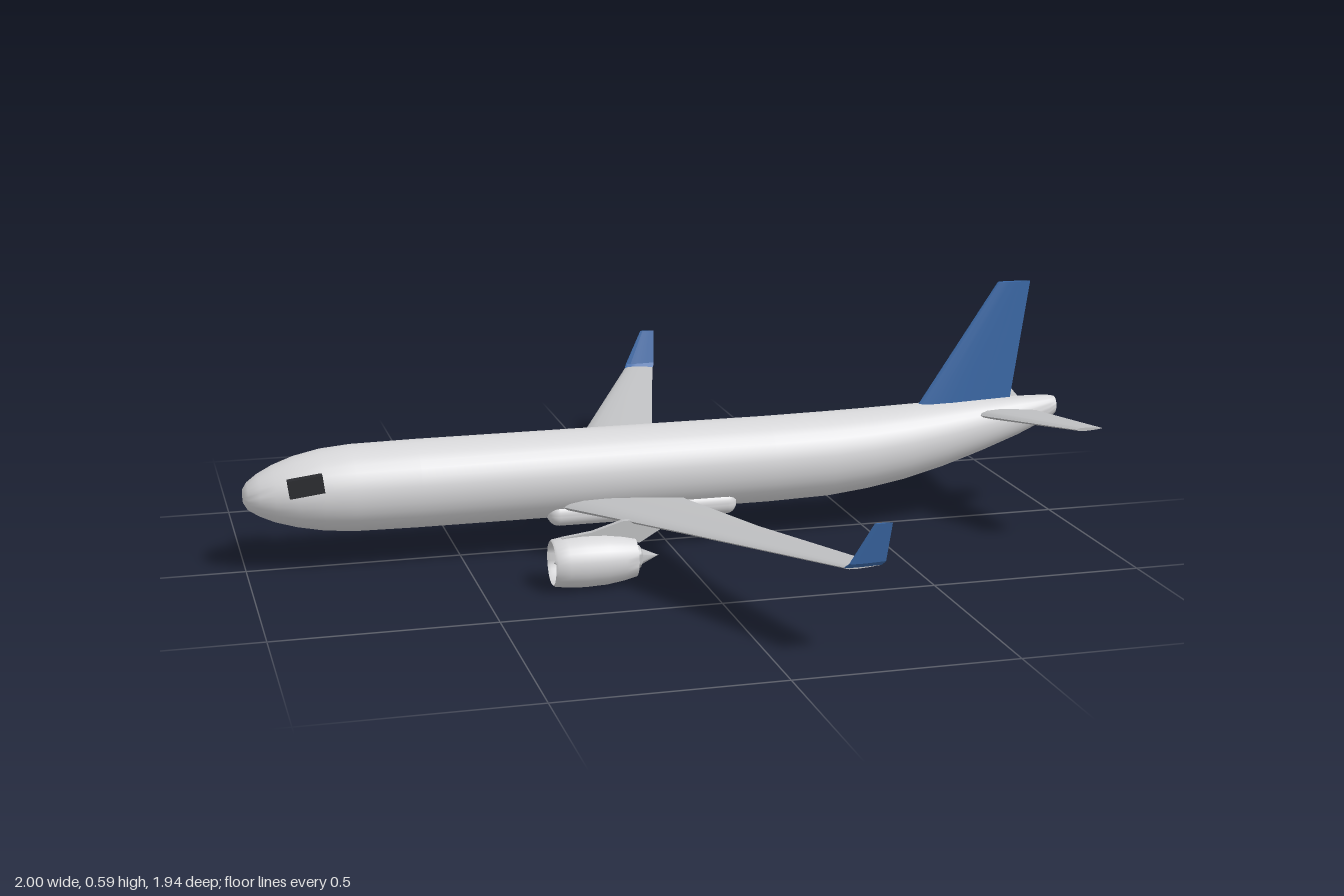
import * as THREE from 'three';
import { toCreasedNormals } from 'three/addons/utils/BufferGeometryUtils.js';
import { RoundedBoxGeometry } from 'three/addons/geometries/RoundedBoxGeometry.js';

const material = (name, color) => {
  const m = new THREE.MeshStandardMaterial({ color });
  m.name = name;
  return m;
};

// Skin a row of closed rings, cap both ends and face everything outward
function loft(rings, crease) {
  const n = rings[0].length;
  const pos = rings.flat(2);
  const tris = [];
  for (let i = 0; i < rings.length - 1; i++) {
    for (let j = 0; j < n; j++) {
      const a = i * n + j, b = i * n + (j + 1) % n;
      tris.push([a, b, b + n], [a, b + n, a + n]);
    }
  }
  const last = (rings.length - 1) * n;
  for (let j = 1; j < n - 1; j++) tris.push([0, j + 1, j], [last, last + j, last + j + 1]);
  const p = (i) => new THREE.Vector3().fromArray(pos, i * 3);
  const volume = tris.reduce((v, [a, b, c]) => v + p(a).dot(p(b).cross(p(c))), 0);
  if (volume < 0) tris.forEach((t) => t.reverse());
  const g = new THREE.BufferGeometry();
  g.setAttribute('position', new THREE.Float32BufferAttribute(pos, 3));
  g.setIndex(tris.flat());
  return toCreasedNormals(g, crease);
}

// Aerofoil outline: chord fraction, half-thickness fraction
const FOIL = [[0, 0], [0.04, 0.25], [0.15, 0.45], [0.35, 0.5], [0.65, 0.36], [1, 0.08],
  [1, -0.08], [0.65, -0.36], [0.35, -0.5], [0.15, -0.45], [0.04, -0.25]];

// Sections are [leading x, trailing x, y, z, thickness]; upright surfaces are thick along z
function surface(sections, upright, side = 1) {
  return loft(sections.map(([le, te, y, z, t]) => FOIL.map(([c, h]) => {
    const x = le + (te - le) * c;
    return upright ? [x, y, side * (z + h * t)] : [x, y + h * t, side * z];
  })), 0.5);
}

// Lathe running along x
function latheX(points, segments = 32) {
  const g = new THREE.LatheGeometry(points.map(([x, r]) => new THREE.Vector2(r, x)), segments);
  g.rotateZ(-Math.PI / 2);
  return toCreasedNormals(g, 0.6);
}

export function createModel() {
  const white = material('fuselage white', 0xd6d6d8);
  const grey = material('wing grey', 0xbfc0c2);
  const blue = material('tail blue', 0x3a68a6);
  const dark = material('dark glass', 0x2a2b2f);

  const model = new THREE.Group();
  model.name = 'airliner';
  const add = (name, geometry, mat, parent = model) => {
    const mesh = new THREE.Mesh(geometry, mat);
    mesh.name = name;
    parent.add(mesh);
    return mesh;
  };

  // Fuselage stations: x, bottom y, top y, half width
  const stations = [
    [-1, 0.165, 0.197, 0.018], [-0.99, 0.148, 0.212, 0.036], [-0.965, 0.132, 0.23, 0.056],
    [-0.93, 0.116, 0.248, 0.073], [-0.88, 0.101, 0.266, 0.088], [-0.82, 0.089, 0.279, 0.097],
    [-0.75, 0.082, 0.285, 0.102], [-0.6, 0.08, 0.287, 0.103], [0.25, 0.08, 0.288, 0.103],
    [0.4, 0.084, 0.29, 0.102], [0.5, 0.095, 0.292, 0.098], [0.6, 0.112, 0.295, 0.09],
    [0.7, 0.137, 0.298, 0.078], [0.8, 0.168, 0.3, 0.062], [0.9, 0.203, 0.3, 0.044],
    [0.98, 0.237, 0.299, 0.027], [1, 0.25, 0.295, 0.02],
  ];
  add('fuselage', loft(stations.map(([x, lo, hi, w]) =>
    Array.from({ length: 32 }, (_, i) => {
      const a = (i / 32) * Math.PI * 2;
      return [x, (lo + hi) / 2 + Math.sin(a) * (hi - lo) / 2, Math.cos(a) * w];
    })), 0.8), white);

  // Belly fairing
  const belly = add('bellyFairing', new RoundedBoxGeometry(0.46, 0.056, 0.17, 4, 0.026), white);
  belly.position.set(-0.07, 0.101, 0);

  // Tail fin
  add('tailFin', surface([
    [0.615, 0.875, 0.26, 0, 0.03], [0.645, 0.882, 0.3, 0, 0.028], [0.84, 0.925, 0.59, 0, 0.014],
  ], true), blue);

  // Engine profiles, along x from the inlet
  const nacelle = [[-0.31, 0.046], [-0.335, 0.047], [-0.343, 0.05], [-0.338, 0.054], [-0.31, 0.058],
    [-0.27, 0.06], [-0.22, 0.058], [-0.18, 0.052], [-0.15, 0.045], [-0.15, 0.041], [-0.18, 0.042]];
  const core = [[-0.19, 0.042], [-0.178, 0.03], [-0.14, 0.026], [-0.135, 0.018], [-0.095, 0]];

  for (const side of [1, -1]) {
    const label = side > 0 ? 'left' : 'right';

    add(label + 'Wing', surface([
      [-0.283, 0.02, 0.12, 0.05, 0.034], [-0.26, 0.025, 0.125, 0.1, 0.032],
      [-0.085, 0.09, 0.163, 0.475, 0.018], [0.13, 0.21, 0.207, 0.935, 0.01],
    ], false, side), grey);

    add(label + 'Winglet', surface([
      [0.13, 0.212, 0.207, 0.935, 0.012], [0.137, 0.216, 0.218, 0.947, 0.012],
      [0.183, 0.222, 0.305, 0.966, 0.006],
    ], true, side), blue);

    add(label + 'Stabilizer', surface([
      [0.775, 0.935, 0.268, 0.02, 0.022], [0.79, 0.942, 0.272, 0.07, 0.02],
      [0.91, 0.975, 0.296, 0.335, 0.008],
    ], false, side), grey);

    // Cockpit window
    const pane = add(label + 'CockpitWindow', new THREE.BoxGeometry(0.08, 0.042, 0.022), dark);
    pane.position.set(-0.864, 0.218, side * 0.086);
    pane.rotation.z = 0.12;

    // Engine with fan, core and pylon
    const engine = new THREE.Group();
    engine.name = label + 'Engine';
    engine.position.set(0, 0.06, side * 0.302);
    model.add(engine);
    add('nacelle', latheX(nacelle), white, engine);
    add('exhaustCone', latheX(core), grey, engine);

    const disc = add('fanDisc', new THREE.CylinderGeometry(0.047, 0.047, 0.006, 32), dark, engine);
    disc.rotation.z = Math.PI / 2;
    disc.position.x = -0.312;
    add('spinner', latheX([[-0.338, 0], [-0.33, 0.008], [-0.315, 0.014]], 20), grey, engine);
    for (let i = 0; i < 12; i++) {
      const g = new THREE.BoxGeometry(0.003, 0.034, 0.005);
      g.rotateY(0.5);
      g.translate(-0.318, 0.029, 0);
      g.rotateX((i / 12) * Math.PI * 2);
      add('fanBlade', g, grey, engine);
    }

    const outline = new THREE.Shape([[-0.32, 0.045], [-0.14, 0.035], [-0.08, 0.07], [-0.1, 0.09],
      [-0.18, 0.088], [-0.25, 0.067], [-0.32, 0.058]].map(([x, y]) => new THREE.Vector2(x, y)));
    const pylon = new THREE.ExtrudeGeometry(outline, { depth: 0.014, bevelEnabled: false });
    pylon.translate(0, 0, -0.007);
    add('pylon', pylon, grey, engine);
  }
  return model;
}
